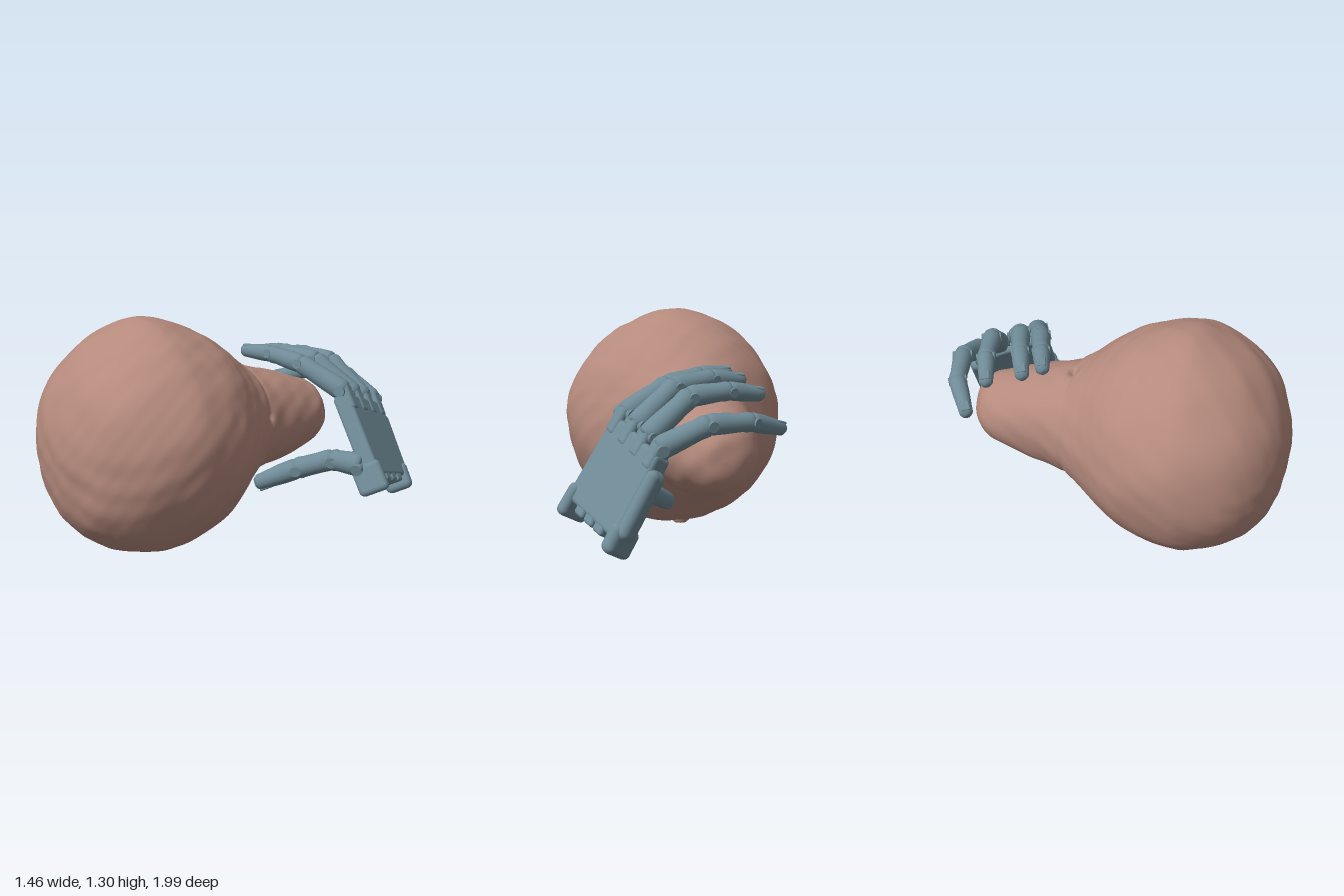
import * as THREE from 'three';
import { mergeVertices } from 'three/addons/utils/BufferGeometryUtils.js';
import { RoundedBoxGeometry } from 'three/addons/geometries/RoundedBoxGeometry.js';

const V = (x, y, z) => new THREE.Vector3(x, y, z);
const skin = new THREE.MeshStandardMaterial({ color: 0xb58a7d });
const steel = new THREE.MeshStandardMaterial({ color: 0x6f8b97 });

function mesh(name, geometry, material) {
  const m = new THREE.Mesh(geometry, material);
  m.name = name;
  return m;
}

// Gourd: a turned profile laid along z, then made lumpy and dented by rule
const profile = (list) => new THREE.SplineCurve(list.map(([r, z]) => new THREE.Vector2(r, z)));

function makeGourd() {
  const neck = profile([[0, -0.77], [0.1, -0.755], [0.175, -0.695], [0.215, -0.6], [0.265, -0.42], [0.288, -0.3], [0.32, -0.2]]);
  const body = profile([[0.32, -0.2], [0.378, -0.11], [0.46, 0], [0.528, 0.1], [0.578, 0.2], [0.621, 0.38], [0.615, 0.54],
    [0.535, 0.74], [0.39, 0.89], [0.2, 0.97], [0, 0.99]]);
  const points = [...neck.getPoints(45), ...body.getPoints(90).slice(1)];
  points.forEach((p) => { p.x = Math.max(p.x, 0); });
  let geo = new THREE.LatheGeometry(points, 160);
  geo.rotateX(Math.PI / 2);
  geo.deleteAttribute('uv');
  geo.deleteAttribute('normal');
  geo = mergeVertices(geo, 1e-5);
  // x, y, z, radius, height of local dents and bumps
  const spots = [
    [-0.22, 0.3, -0.2, 0.03, -0.025], [-0.02, 0.32, -0.19, 0.03, -0.03],
    [0.3, 0.07, -0.18, 0.03, -0.03], [0.29, -0.12, -0.14, 0.03, -0.03],
    [0.09, -0.62, 0.47, 0.07, 0.018], [-0.05, -0.62, 0.47, 0.09, 0.015], [0.02, 0.64, 0.42, 0.13, 0.014],
    [0.18, -0.12, 0.97, 0.09, -0.01], [0.59, 0.12, 0.55, 0.12, 0.012],
  ];
  const pos = geo.attributes.position;
  const p = V(), q = V();
  for (let i = 0; i < pos.count; i++) {
    p.fromBufferAttribute(pos, i);
    const { x, y, z } = p;
    let d = 0.005 * Math.sin(7 * x + 3 * y + 1) * Math.sin(6 * y - 4 * z)
      + 0.004 * Math.sin(13 * y + 5 * x) * Math.cos(11 * z - 6 * x + 2)
      + 0.003 * Math.sin(23 * x + 9 * z + 4 * Math.sin(5 * y)) * Math.sin(21 * y + 17 * z)
      + 0.0012 * Math.sin(47 * x - 19 * y) * Math.sin(41 * z + 29 * y);
    d -= (0.005 + 0.004 * Math.sin(9 * x + 5 * y)) * Math.exp(-(((z + 0.2) / 0.018) ** 2));
    for (const [a, b, c, r, h] of spots) d += h * Math.exp(-q.set(a, b, c).distanceToSquared(p) / (r * r));
    q.set(x, y, z < 0.3 ? (z < -0.5 ? z + 0.5 : 0) : z - 0.3).normalize();
    p.addScaledVector(q, d);
    const lean = Math.max(0, -z), sag = Math.max(0, z - 0.45);
    pos.setXYZ(i, p.x - 0.105 + 0.03 * lean, p.y + 0.661 - 0.05 * lean - 0.09 * sag, p.z);
  }
  geo.computeVertexNormals();
  const group = new THREE.Group();
  group.name = 'gourd';
  group.add(mesh('gourdBody', geo, skin));
  // Blossom nub underneath
  const nub = new THREE.LatheGeometry([[0, 0], [0.038, 0.002], [0.055, 0.018], [0.05, 0.04], [0.062, 0.06], [0.11, 0.09]]
    .map(([r, y]) => new THREE.Vector2(r, y)), 24);
  const n = mesh('blossomNub', nub, skin);
  n.position.set(-0.155, 0.002, 0.47);
  group.add(n);
  return group;
}

// Palm frame: u runs from first to last finger, v from knuckles to wrist, w towards the grip
const corners = [V(0.4, 0.85, -0.53), V(0.27, 0.70, -0.94), V(0.69, 0.38, -0.55), V(0.52, 0.25, -0.96)];
const inward = V(-0.78, -0.46, 0.43).normalize();
function palmPoint(u, v, w = 0) {
  const near = corners[0].clone().lerp(corners[1], u);
  const far = corners[2].clone().lerp(corners[3], u);
  return near.lerp(far, v).addScaledVector(inward, w);
}

function palmBlock(name, u0, u1, v0, v1, w0, w1, round = 0.22) {
  const size = [(u1 - u0) * 0.44, (v1 - v0) * 0.54, w1 - w0];
  const geo = new RoundedBoxGeometry(...size, 3, Math.min(...size) * round);
  const pos = geo.attributes.position;
  for (let i = 0; i < pos.count; i++) {
    const p = palmPoint(
      u0 + (u1 - u0) * (pos.getX(i) / size[0] + 0.5),
      v0 + (v1 - v0) * (pos.getY(i) / size[1] + 0.5),
      w0 + (w1 - w0) * (pos.getZ(i) / size[2] + 0.5));
    pos.setXYZ(i, p.x, p.y, p.z);
  }
  // keep the rounded-box shading by rotating its normals into the palm frame
  const U = corners[1].clone().sub(corners[0]).normalize();
  const N = inward.clone();
  const W = N.clone().cross(U).normalize();
  geo.attributes.normal.applyMatrix4(new THREE.Matrix4().makeBasis(U, W, N));
  return mesh(name, geo, steel);
}

function makePalm() {
  const group = new THREE.Group();
  group.name = 'palm';
  group.add(palmBlock('palmPlate', 0, 1, 0.02, 0.9, -0.038, 0.065));
  group.add(palmBlock('palmSideBulge', 0.88, 1.09, 0.15, 0.86, -0.035, 0.065, 0.4));
  for (let i = 0; i < 4; i++) {
    const c = 0.1 + i * 0.267;
    group.add(palmBlock('knuckleLug', c - 0.1, c + 0.08, -0.1, 0.2, -0.045, 0.055, 0.3));
  }
  // Forked wrist end
  group.add(palmBlock('wristFork', -0.02, 0.13, 0.74, 1.06, -0.055, 0.12, 0.45));
  group.add(palmBlock('wristFork', 0.85, 1.03, 0.74, 1.04, -0.05, 0.11, 0.45));
  for (const c of [0.31, 0.5, 0.69]) group.add(palmBlock('wristBridge', c - 0.085, c + 0.085, 0.8, 0.96, -0.035, 0.075));
  group.add(palmBlock('thumbMount', 0, 0.22, 0.58, 0.85, 0.02, 0.11, 0.4));
  return group;
}

// Places a y-aligned mesh between two points, its z side turned to the finger's back
function span(m, a, b, back) {
  const y = b.clone().sub(a).normalize();
  const x = y.clone().cross(back).normalize();
  m.quaternion.setFromRotationMatrix(new THREE.Matrix4().makeBasis(x, y, x.clone().cross(y)));
  m.position.copy(a).lerp(b, 0.5);
  return m;
}

// Finger: tapered links with rounded ends and hinge pins, ending in a nailed tip
function makeFinger(name, joints, radii, back) {
  const group = new THREE.Group();
  group.name = name;
  for (let i = 0; i < joints.length - 1; i++) {
    const a = joints[i], b = joints[i + 1], r0 = radii[i], r1 = radii[i + 1];
    const len = a.distanceTo(b), last = i === joints.length - 2;
    const outline = [[0, -0.02], [r0 * 0.7, -0.016], [r0 * 0.93, -0.004], [r0, 0.018], [r0 * 0.97, len * 0.35], [r1 * 0.98, len * 0.75]];
    if (last) outline.push([r1 * 0.92, len - r1 * 0.55], [r1 * 0.65, len - r1 * 0.13], [0, len]);
    else outline.push([r1 * 1.04, len - 0.018], [r1 * 0.9, len + 0.004], [r1 * 0.6, len + 0.015], [0, len + 0.018]);
    const link = new THREE.LatheGeometry(outline.map(([r, y]) => new THREE.Vector2(r, y)), 24);
    link.translate(0, -len / 2, 0);
    group.add(span(mesh('link', link, steel), a, b, back));
    const pin = new THREE.CylinderGeometry(r0 * 0.5, r0 * 0.5, r0 * 2.08, 20);
    pin.rotateZ(Math.PI / 2);
    const hinge = span(mesh('hinge', pin, steel), a, b, back);
    hinge.position.copy(a);
    group.add(hinge);
    if (last) {
      const nail = new RoundedBoxGeometry(r1 * 1.25, r1 * 1.7, r1 * 0.4, 3, r1 * 0.18);
      nail.translate(0, len / 2 - r1 * 1.2, r1 * 0.75);
      group.add(span(mesh('nail', nail, steel), a, b, back));
    }
  }
  return group;
}

export function createModel() {
  const model = new THREE.Group();
  model.name = 'gourdAndHand';
  model.add(makeGourd());

  const hand = new THREE.Group();
  hand.name = 'mechanicalHand';
  hand.add(makePalm());
  const fingers = {
    indexFinger: [V(0.14, 0.975, -0.465), V(-0.05, 1.01, -0.4), V(-0.23, 1.01, -0.335)],
    middleFinger: [V(0.13, 0.98, -0.58), V(-0.08, 1.005, -0.51), V(-0.275, 0.98, -0.435)],
    ringFinger: [V(0.09, 0.95, -0.735), V(-0.12, 0.965, -0.695), V(-0.32, 0.93, -0.625)],
    littleFinger: [V(0.04, 0.835, -0.9), V(-0.19, 0.83, -0.845), V(-0.4, 0.765, -0.715)],
  };
  Object.entries(fingers).forEach(([name, joints], i) => {
    const base = palmPoint(0.09 + i * 0.267, -0.03);
    hand.add(makeFinger(name, [base, ...joints], [0.06, 0.054, 0.048, 0.04], V(0.1, 1, -0.15)));
  });
  hand.add(makeFinger('thumb',
    [palmPoint(0.06, 0.74, 0.06), V(0.41, 0.475, -0.47), V(0.25, 0.405, -0.35), V(0.065, 0.295, -0.2)],
    [0.066, 0.06, 0.06, 0.05], V(0.4, -0.8, -0.4)));
  model.add(hand);
  return model;
}
